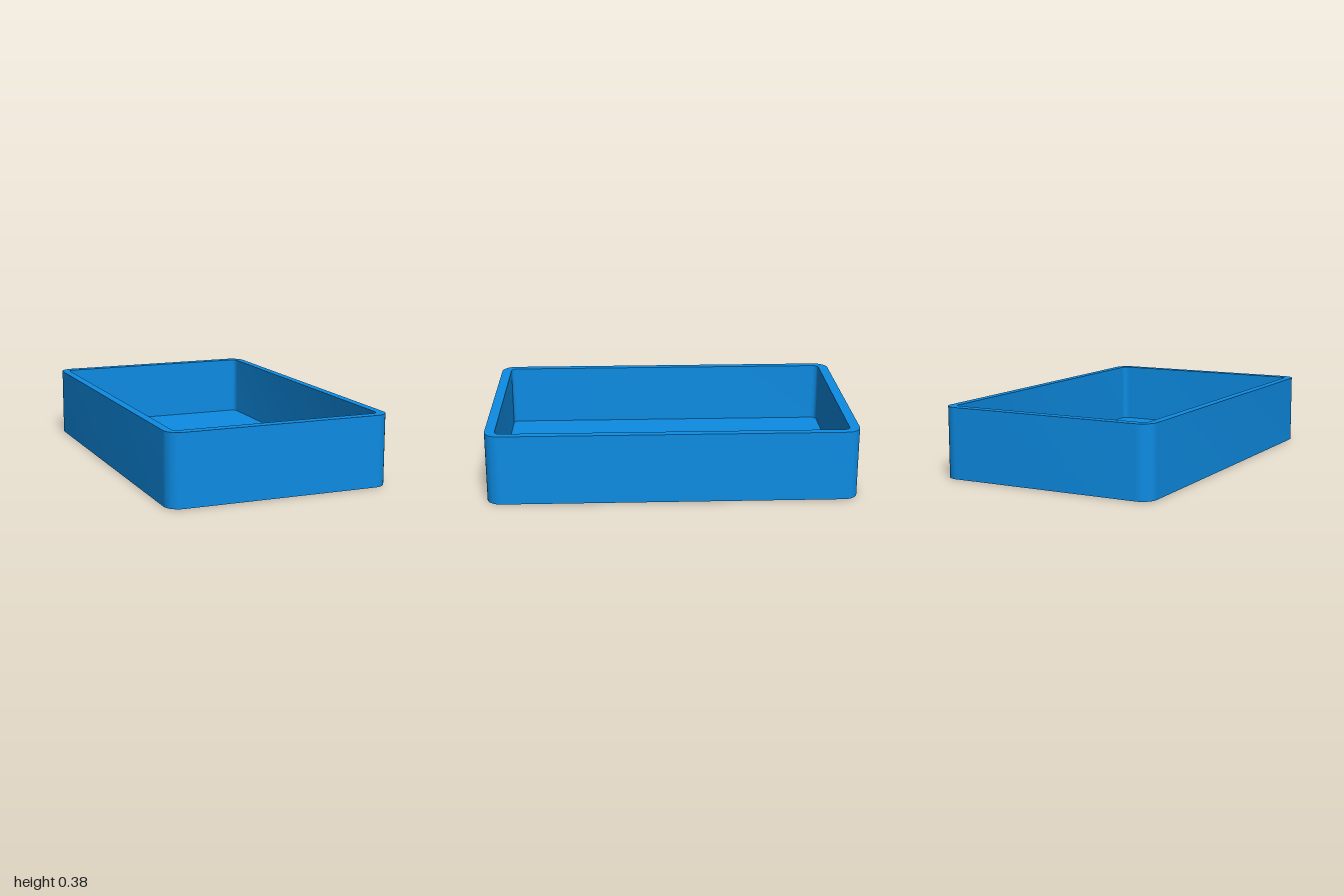
import * as THREE from 'three';
import { toCreasedNormals } from 'three/addons/utils/BufferGeometryUtils.js';

const CORNER_STEPS = 12;

// Rounded rectangle at height y, with half width hx, half depth hz and corner radius r
function loop(hx, hz, r, y) {
  const points = [];
  for (let corner = 0; corner < 4; corner++) {
    const sx = corner === 0 || corner === 3 ? 1 : -1;
    const sz = corner < 2 ? 1 : -1;
    for (let i = 0; i <= CORNER_STEPS; i++) {
      const a = (corner + i / CORNER_STEPS) * Math.PI / 2;
      points.push([sx * (hx - r) + r * Math.cos(a), y, sz * (hz - r) + r * Math.sin(a)]);
    }
  }
  return points;
}

// Skin successive loops, with a fan closing the first and the last one
function skin(loops) {
  const positions = [];
  const centre = (l) => l.map(() => [0, l[0][1], 0]);
  const rows = [centre(loops[0]), ...loops, centre(loops[loops.length - 1])];
  for (let k = 0; k < rows.length - 1; k++) {
    const a = rows[k], b = rows[k + 1];
    for (let i = 0; i < a.length; i++) {
      const j = (i + 1) % a.length;
      if (k < rows.length - 2) positions.push(...a[i], ...b[i], ...b[j]);
      if (k > 0) positions.push(...a[i], ...b[j], ...a[j]);
    }
  }
  const geometry = new THREE.BufferGeometry();
  geometry.setAttribute('position', new THREE.Float32BufferAttribute(positions, 3));
  return toCreasedNormals(geometry, Math.PI / 6);
}

export function createModel() {
  const group = new THREE.Group();
  group.name = 'openTray';
  const height = 0.385, floor = 0.045;

  // Outer wall, rim, inner wall and floor as one closed shell
  const tray = new THREE.Mesh(
    skin([
      loop(0.615, 1, 0.08, 0),
      loop(0.615, 1, 0.08, height),
      loop(0.57, 0.945, 0.032, height),
      loop(0.57, 0.945, 0.032, floor),
    ]),
    new THREE.MeshStandardMaterial({ color: 0x0d8ce3 }),
  );
  tray.name = 'tray';
  group.add(tray);
  return group;
}
